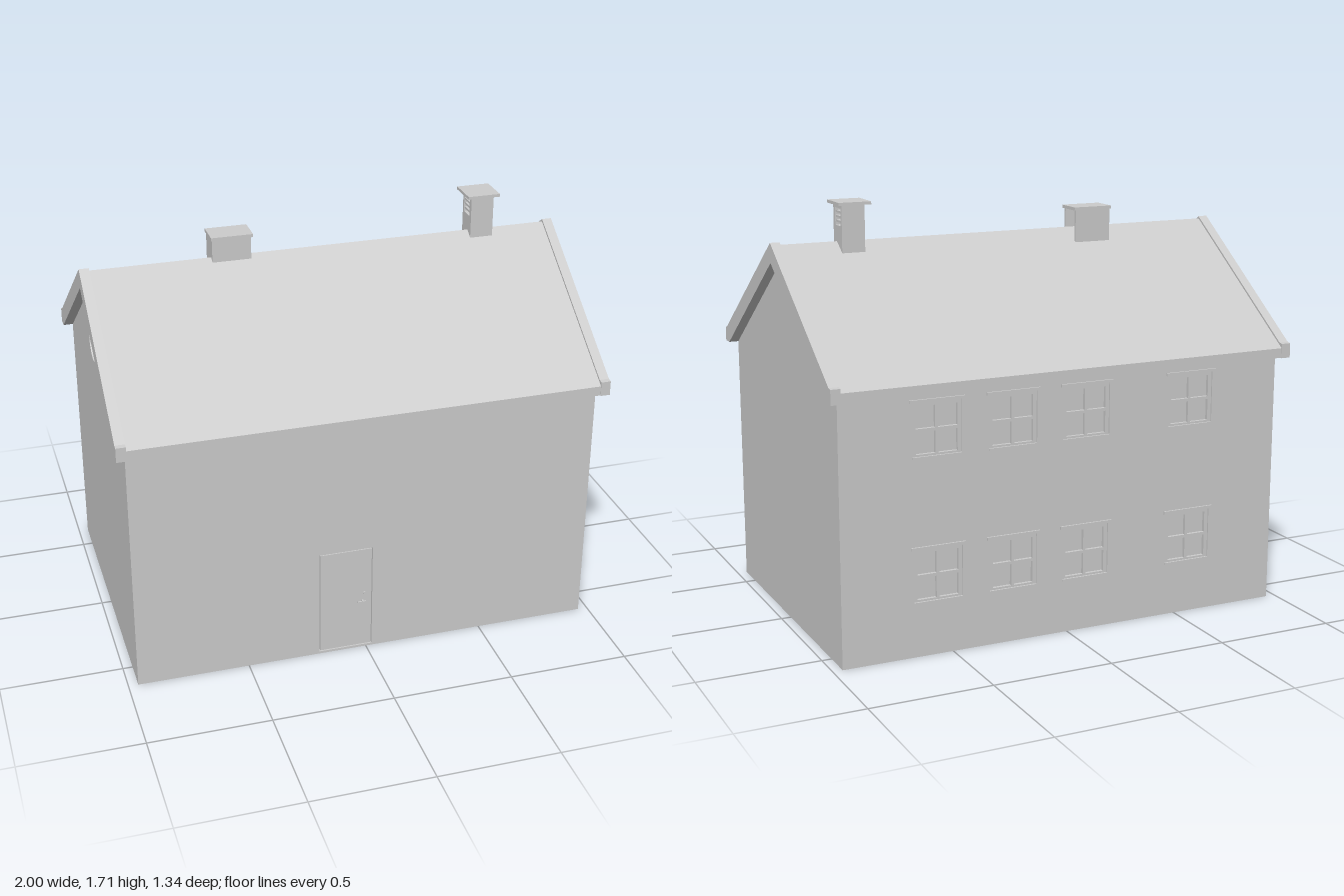
import * as THREE from 'three';

const material = new THREE.MeshStandardMaterial({ color: 0xcccccc, flatShading: true });

function add(parent, name, geometry) {
  const mesh = new THREE.Mesh(geometry, material);
  mesh.name = name;
  parent.add(mesh);
  return mesh;
}

// Box given by its limits on each axis
function box(parent, name, x0, x1, y0, y1, z0, z1) {
  const g = new THREE.BoxGeometry(x1 - x0, y1 - y0, z1 - z0);
  return add(parent, name, g.translate((x0 + x1) / 2, (y0 + y1) / 2, (z0 + z1) / 2));
}

const outline = (points) => new THREE.Shape(points.map(([a, b]) => new THREE.Vector2(a, b)));
const rect = (x0, x1, y0, y1) => outline([[x0, y0], [x1, y0], [x1, y1], [x0, y1]]);

// Extrude a (z, y) shape along x between x0 and x1
function extrudeX(shape, x0, x1) {
  const g = new THREE.ExtrudeGeometry(shape, { depth: x1 - x0, bevelEnabled: false, curveSegments: 24 });
  return g.rotateY(-Math.PI / 2).translate(x1, 0, 0);
}

// Mirror a half profile (ridge to eave to ridge underside) about z = 0
function mirrored(top, bottom) {
  const flip = (list) => list.map(([z, y]) => [-z, y]);
  return outline([...flip(top).reverse(), ...top.slice(1), ...bottom, ...flip(bottom).reverse().slice(1)]);
}

const W = 0.96, D = 0.625, T = 0.025, EAVE = 1.05, RIDGE = 1.48;
const windowX = [0.56, 0.24, -0.08, -0.555];
const windowY = [0.215, 0.795];
const winW = 0.205, winH = 0.22;
const door = [-0.2, 0.025, 0.01, 0.475];
const roundWindow = { y: 1.24, r: 0.1 };

function buildWalls(group) {
  const gable = (d) => {
    const e = RIDGE - (d / D) * (RIDGE - EAVE);
    return outline([[-d, 0], [d, 0], [d, e], [0, RIDGE], [-d, e]]);
  };
  add(group, 'houseCore', extrudeX(gable(D - T), -W + T, W - T));

  // Gable walls, the left one pierced by a round window
  for (const s of [-1, 1]) {
    const shape = gable(D);
    if (s < 0) shape.holes.push(new THREE.Path().absarc(0, roundWindow.y, roundWindow.r, 0, Math.PI * 2, true));
    add(group, 'gableWall', s < 0 ? extrudeX(shape, -W, -W + T) : extrudeX(shape, W - T, W));
  }

  // Long walls with door and window openings
  const front = rect(-W + T, W - T, 0, EAVE), back = rect(-W + T, W - T, 0, EAVE);
  front.holes.push(rect(...door));
  for (const x of windowX) for (const y of windowY) back.holes.push(rect(x - winW / 2, x + winW / 2, y, y + winH));
  const opts = { depth: T, bevelEnabled: false };
  add(group, 'frontWall', new THREE.ExtrudeGeometry(front, opts).translate(0, 0, D - T));
  add(group, 'backWall', new THREE.ExtrudeGeometry(back, opts).translate(0, 0, -D));
}

function buildDoor(group) {
  const d = new THREE.Group();
  d.name = 'door';
  const [x0, x1, y0, y1] = door, gap = 0.004;
  box(d, 'doorLeaf', x0 + gap, x1 - gap, y0 + gap, y1 - gap, D - T, D - 0.001);
  // Lever handle and lock
  box(d, 'handleStem', -0.022, -0.014, 0.224, 0.232, D - 0.002, D + 0.012);
  box(d, 'handleLever', -0.04, -0.005, 0.224, 0.231, D + 0.008, D + 0.014);
  const lock = new THREE.CylinderGeometry(0.008, 0.008, 0.008, 16).rotateX(Math.PI / 2);
  add(d, 'lock', lock.translate(-0.007, 0.263, D));
  group.add(d);
}

function buildWindow(cx, y) {
  const w = new THREE.Group();
  w.name = 'window';
  const h = winW / 2, f = 0.016, g = 0.006;
  // Frame with four panes
  const frame = rect(-h, h, 0, winH);
  const paneW = h - f - g, paneH = winH / 2 - f - g;
  for (const px of [-h + f, g]) {
    for (const py of [f, winH / 2 + g]) frame.holes.push(rect(px, px + paneW, py, py + paneH));
  }
  add(w, 'windowFrame', new THREE.ExtrudeGeometry(frame, { depth: 0.014, bevelEnabled: false }).translate(0, 0, -D + 0.006));
  // Drip ledge above and thin sill below
  box(w, 'windowLedge', -h - 0.012, h + 0.012, winH, winH + 0.012, -D - 0.008, -D + 0.01);
  box(w, 'windowSill', -h, h, 0, 0.008, -D - 0.002, -D + 0.015);
  w.position.set(cx, y, 0);
  return w;
}

function buildRoundWindow(group) {
  const w = new THREE.Group();
  w.name = 'roundWindow';
  const { y, r } = roundWindow, x = -W;
  const ring = new THREE.Shape().absarc(0, y, r, 0, Math.PI * 2);
  ring.holes.push(new THREE.Path().absarc(0, y, r - 0.02, 0, Math.PI * 2, true));
  add(w, 'roundFrame', extrudeX(ring, x - 0.006, x + T));
  const b = r - 0.015;
  box(w, 'verticalBar', x + 0.004, x + T, y - b, y + b, -0.006, 0.006);
  box(w, 'horizontalBar', x + 0.004, x + T, y - 0.006, y + 0.006, -b, b);
  group.add(w);
}

function buildRoof(group) {
  const under = [[D, EAVE], [0, RIDGE]];
  // Main slopes, ending in a fascia along the eaves
  add(group, 'roofSlopes', extrudeX(mirrored([[0, 1.55], [0.67, 1.092], [0.67, 1.052]], under), -W, W));
  // Raised verge boards with boxed ends over the gables
  const verge = mirrored([[0, 1.56], [0.653, 1.113], [0.672, 1.11], [0.672, EAVE]], under);
  for (const s of [-1, 1]) add(group, 'vergeBoard', extrudeX(verge, s < 0 ? -1 : W, s < 0 ? -W : 1));
}

function buildChimneys(group) {
  // Tall chimney with a louvred opening through its sides
  const tall = new THREE.Group();
  tall.name = 'tallChimney';
  const stack = rect(-0.06, 0.035, 1.48, 1.7);
  stack.holes.push(rect(-0.047, 0.015, 1.615, 1.685));
  add(tall, 'chimneyStack', extrudeX(stack, 0.625, 0.722));
  for (let i = 0; i < 3; i++) {
    const y = 1.627 + i * 0.019;
    box(tall, 'louvre', 0.628, 0.719, y, y + 0.008, -0.047, 0.015);
  }
  box(tall, 'chimneyCap', 0.605, 0.742, 1.7, 1.712, -0.083, 0.052);
  group.add(tall);

  // Low vent housing, open towards the left gable end
  const low = new THREE.Group();
  low.name = 'lowChimney';
  box(low, 'ventBack', -0.468, -0.455, 1.48, 1.63, -0.082, 0.022);
  box(low, 'ventFrontWall', -0.455, -0.308, 1.48, 1.63, 0.01, 0.022);
  box(low, 'ventRearWall', -0.455, -0.308, 1.48, 1.63, -0.082, -0.07);
  box(low, 'ventCap', -0.472, -0.3, 1.628, 1.641, -0.087, 0.027);
  group.add(low);
}

export function createModel() {
  const house = new THREE.Group();
  house.name = 'house';
  buildWalls(house);
  buildDoor(house);
  for (const x of windowX) for (const y of windowY) house.add(buildWindow(x, y));
  buildRoundWindow(house);
  buildRoof(house);
  buildChimneys(house);
  return house;
}
